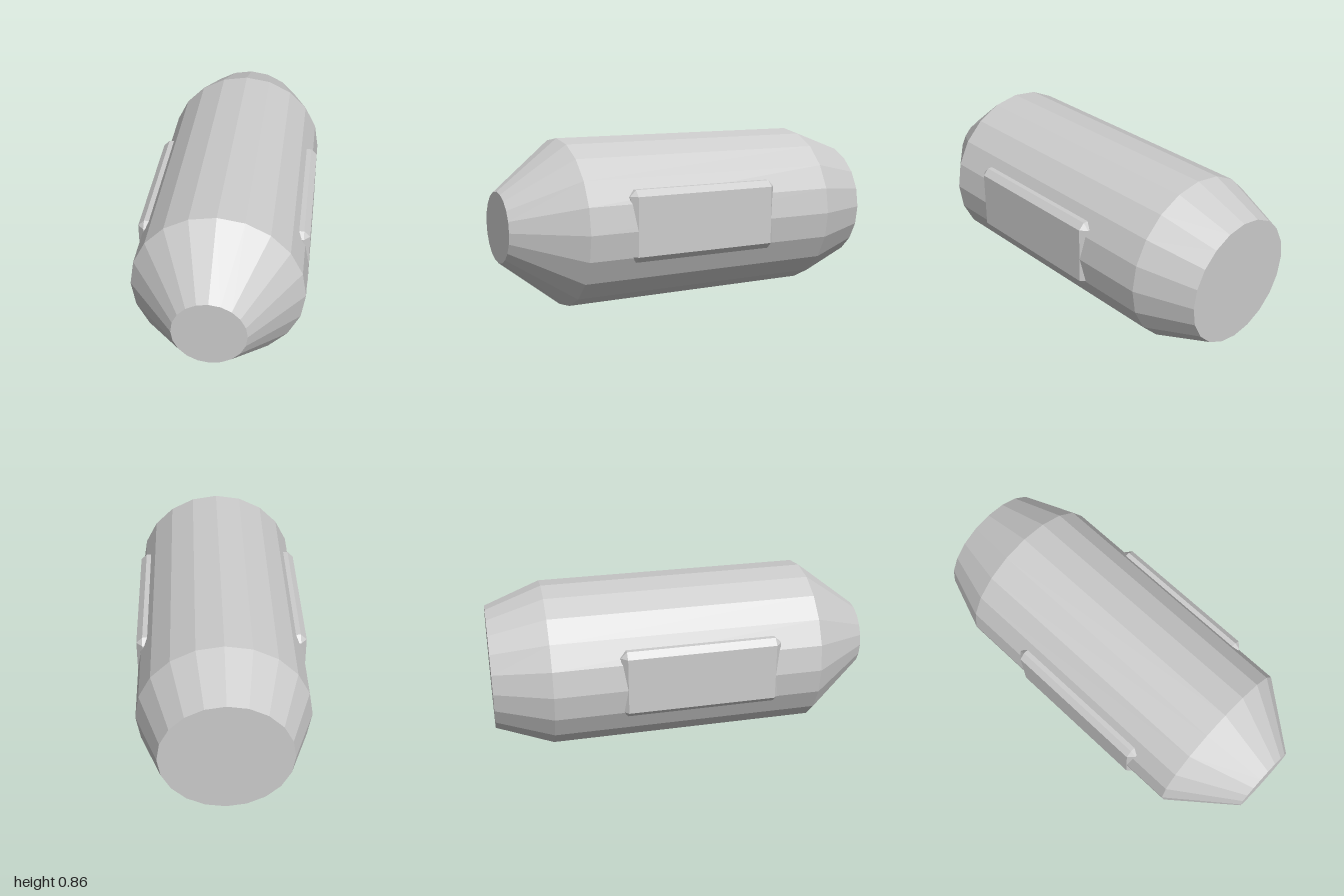
import * as THREE from 'three';
import { ConvexGeometry } from 'three/addons/geometries/ConvexGeometry.js';

const SIDES = 20;
const CENTER_Y = 0.432;

// Box with every edge cut off at 45 degrees
function chamferedBox(w, h, d, c) {
  const points = [];
  for (const sx of [-1, 1]) for (const sy of [-1, 1]) for (const sz of [-1, 1]) {
    for (let axis = 0; axis < 3; axis++) {
      const half = [w / 2, h / 2, d / 2].map((v, i) => (i === axis ? v : v - c));
      points.push(new THREE.Vector3(sx * half[0], sy * half[1], sz * half[2]));
    }
  }
  return new ConvexGeometry(points);
}

export function createModel() {
  const group = new THREE.Group();
  const grey = new THREE.MeshStandardMaterial({ color: 0xcccccc, flatShading: true });
  grey.name = 'light grey';

  // Faceted hull: blunt tail, straight barrel, tapered nose, both ends closed
  const profile = [
    [0, -1], [0.323, -1], [0.431, -0.71], [0.431, 0.68], [0.18, 1], [0, 1],
  ].map(([r, z]) => new THREE.Vector2(r, z));
  const hull = new THREE.Mesh(new THREE.LatheGeometry(profile, SIDES).rotateX(Math.PI / 2), grey);
  hull.name = 'hull';
  hull.position.y = CENTER_Y;
  group.add(hull);

  // Chamfered side panels, sunk into the hull on both flanks
  const panelGeometry = chamferedBox(0.2, 0.36, 0.83, 0.031);
  for (const side of [-1, 1]) {
    const panel = new THREE.Mesh(panelGeometry, grey);
    panel.name = side > 0 ? 'leftPanel' : 'rightPanel';
    panel.position.set(side * 0.332, 0.452, 0.046);
    group.add(panel);
  }
  return group;
}
